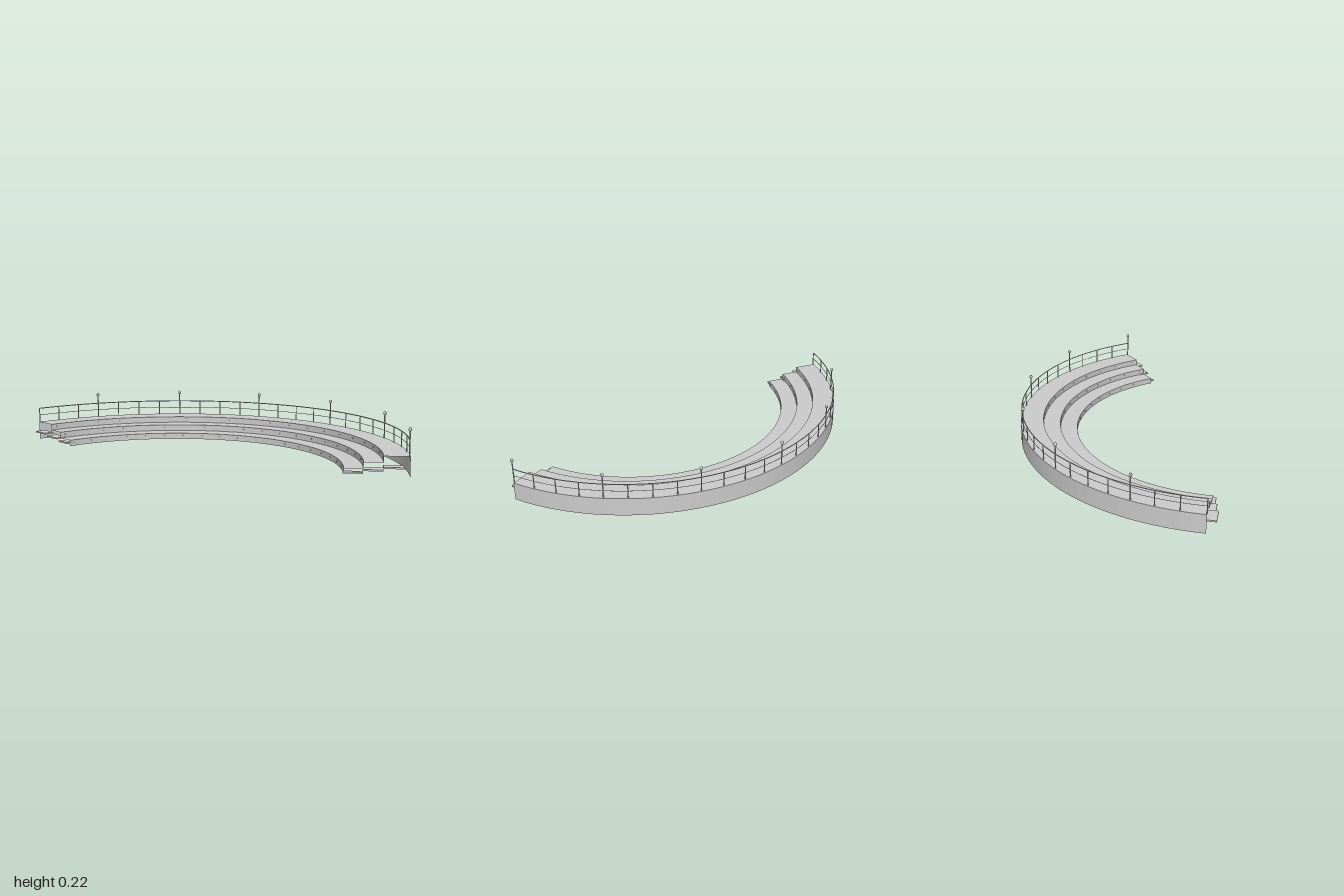
import * as THREE from 'three';

const CZ = 0.659;                 // z of the arc's centre
const HALF = THREE.MathUtils.degToRad(70);
const LIGHT_HALF = THREE.MathUtils.degToRad(68);
const RAIL_R = 1.058;
const TOP = 0.09;

// Point on the arc; angle 0 is the middle of the back, positive toward +x
const onArc = (r, a, y) => new THREE.Vector3(r * Math.sin(a), y, CZ - r * Math.cos(a));

export function createModel() {
  const model = new THREE.Group();
  const grey = new THREE.MeshStandardMaterial({ color: 0xcccccc, flatShading: true, side: THREE.DoubleSide });
  grey.name = 'light grey';

  const add = (name, geometry, parent = model) => {
    const mesh = new THREE.Mesh(geometry, grey);
    mesh.name = name;
    parent.add(mesh);
    return mesh;
  };
  const group = (name) => {
    const g = new THREE.Group();
    g.name = name;
    model.add(g);
    return g;
  };

  // Open-bottomed shell: risers, treads and the outer wall swept round the arc
  const sweep = (name, profile) => {
    const points = profile.map(([r, y]) => new THREE.Vector2(r, y));
    const geometry = new THREE.LatheGeometry(points, 46, Math.PI - HALF, 2 * HALF);
    add(name, geometry.translate(0, 0, CZ));
  };
  const radii = [0.779, 0.865, 0.95, 1.064];
  for (let i = 0; i < 3; i++) {
    const y = 0.03 * (i + 1);
    sweep('riser' + (i + 1), [[radii[i], y - 0.03], [radii[i], y]]);
    sweep('tread' + (i + 1), [[radii[i], y], [radii[i + 1], y]]);
  }
  sweep('outerWall', [[radii[3], 0], [radii[3], TOP]]);

  // Half-height end steps: inner radius, outer radius, reach past the end, overlap under the tread, height
  const ends = group('endSteps');
  const slabs = [
    [0.776, 0.862, 0.014, 0.012, 0.016],
    [0.86, 0.95, 0.026, 0.03, 0.031],
    [0.948, 1.036, 0.04, 0.01, 0.046],
  ];
  for (const side of [1, -1]) {
    for (const [r0, r1, reach, back, y] of slabs) {
      const slab = add('endStep', new THREE.BoxGeometry(r1 - r0, 0.007, reach + back), ends);
      const shift = (reach - back) / 2;
      slab.position.copy(onArc((r0 + r1) / 2, side * HALF, y));
      slab.position.x += side * shift * Math.cos(HALF);
      slab.position.z += shift * Math.sin(HALF);
      slab.rotation.y = Math.PI / 2 - side * HALF;
    }
  }

  // Small round step lights set in each riser
  const lights = group('stepLights');
  const lightGeometry = new THREE.CylinderGeometry(0.003, 0.003, 0.005, 8).rotateX(Math.PI / 2);
  for (let i = 0; i < 3; i++) {
    for (let k = 0; k < 20; k++) {
      const a = LIGHT_HALF * (2 * k / 19 - 1);
      const light = add('stepLight', lightGeometry, lights);
      light.position.copy(onArc(radii[i] - 0.001, a, 0.03 * i + 0.017));
      light.rotation.y = -a;
    }
  }

  // Railing posts; every fourth one is tall and carries a ball lamp
  const railing = group('railing');
  for (let i = 0; i < 24; i++) {
    const a = HALF * (2 * i / 23 - 1);
    const tall = i % 4 === 3;
    const h = tall ? 0.113 : 0.072;
    const w = tall ? 0.003 : 0.0025;
    const post = add(tall ? 'lampPost' : 'post', new THREE.CylinderGeometry(w, w, h, 8), railing);
    post.position.copy(onArc(RAIL_R, a, TOP + h / 2));
    if (tall) {
      const ball = add('lampBall', new THREE.SphereGeometry(0.0078, 12, 8), railing);
      ball.scale.y = 1.2;
      ball.position.copy(onArc(RAIL_R, a, 0.209));
    }
  }

  // Curved handrail and middle rail
  const rail = (name, y, radius) => {
    const points = [];
    for (let i = 0; i <= 46; i++) points.push(onArc(RAIL_R, HALF * (i / 23 - 1), y));
    add(name, new THREE.TubeGeometry(new THREE.CatmullRomCurve3(points), 92, radius, 6), railing);
  };
  rail('handrail', 0.162, 0.0025);
  rail('middleRail', 0.127, 0.0014);

  return model;
}
